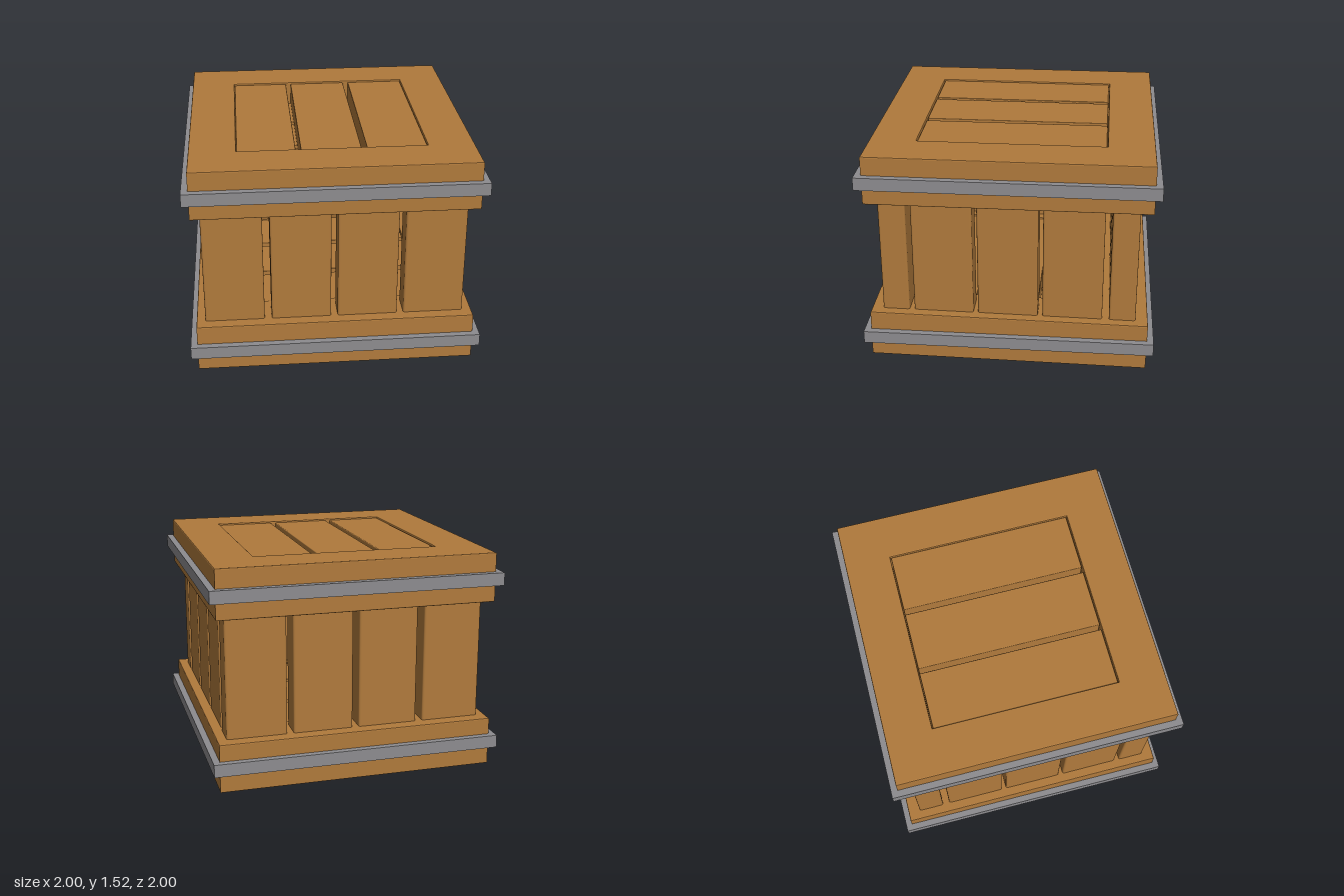
import * as THREE from 'three';
import { RoundedBoxGeometry } from 'three/addons/geometries/RoundedBoxGeometry.js';

const wood = new THREE.MeshStandardMaterial({ color: 0xb07a3c });
wood.name = 'wood';
const metal = new THREE.MeshStandardMaterial({ color: 0x8d8c8f });
metal.name = 'metal';

// Plank given by its min and max along each axis
function plank(name, [x0, x1], [y0, y1], [z0, z1], radius = 0.01) {
  const mesh = new THREE.Mesh(new RoundedBoxGeometry(x1 - x0, y1 - y0, z1 - z0, 2, radius), wood);
  mesh.position.set((x0 + x1) / 2, (y0 + y1) / 2, (z0 + z1) / 2);
  mesh.name = name;
  return mesh;
}

// Flat square ring lying in xz, centred on its own origin
function squareRing(name, outer, inner, height, bevel, material) {
  const square = (Type, r) => new Type([[-r, -r], [r, -r], [r, r], [-r, r]].map(([x, y]) => new THREE.Vector2(x, y)));
  const shape = square(THREE.Shape, outer);
  shape.holes.push(square(THREE.Path, inner));
  const geometry = new THREE.ExtrudeGeometry(shape, {
    depth: height - 2 * bevel, bevelEnabled: bevel > 0, bevelSize: bevel,
    bevelThickness: bevel, bevelOffset: -bevel, bevelSegments: 2,
  });
  geometry.translate(0, 0, bevel - height / 2).rotateX(-Math.PI / 2);
  const mesh = new THREE.Mesh(geometry, material);
  mesh.name = name;
  return mesh;
}

// Framed panel: outer planks run along z, inner planks along x
function panel(name) {
  const group = new THREE.Group();
  group.name = name;
  group.add(squareRing('frame', 0.955, 0.64, 0.34, 0.008, wood));
  for (const span of [[-0.638, -0.245], [-0.21, 0.195], [0.233, 0.638]]) {
    group.add(plank('outerPlank', span, [0, 0.16], [-0.635, 0.635], 0.006));
  }
  for (const span of [[-0.638, -0.255], [-0.205, 0.19], [0.24, 0.638]]) {
    group.add(plank('innerPlank', [-0.638, 0.638], [-0.16, 0], span, 0.006));
  }
  return group;
}

export function createModel() {
  const model = new THREE.Group();
  model.name = 'crate';

  // Lid and slightly tilted base
  const lid = panel('lid');
  lid.position.y = 1.35;
  const base = panel('base');
  base.position.y = 0.18;
  base.rotation.x = Math.PI - 0.009;
  model.add(lid, base);

  // Metal bands
  for (const [name, y] of [['upperBand', 1.345], ['lowerBand', 0.18]]) {
    const band = squareRing(name, 1, 0.93, 0.088, 0, metal);
    band.position.y = y;
    model.add(band);
  }

  // Wall planks, set into the lid and base
  const height = [0.32, 1.2];
  for (const side of [-1, 1]) {
    const depth = side > 0 ? [0.69, 0.875] : [-0.872, -0.69];
    for (const span of [[-0.895, -0.487], [-0.438, -0.027], [0.018, 0.43], [0.475, 0.89]]) {
      model.add(plank(side > 0 ? 'frontPlank' : 'backPlank', span, height, depth, 0.015));
    }
    const width = side > 0 ? [0.705, 0.888] : [-0.893, -0.71];
    for (const span of [[0.245, 0.657], [-0.2, 0.213], [-0.643, -0.232]]) {
      model.add(plank(side > 0 ? 'leftPlank' : 'rightPlank', width, height, span, 0.015));
    }
  }
  return model;
}
